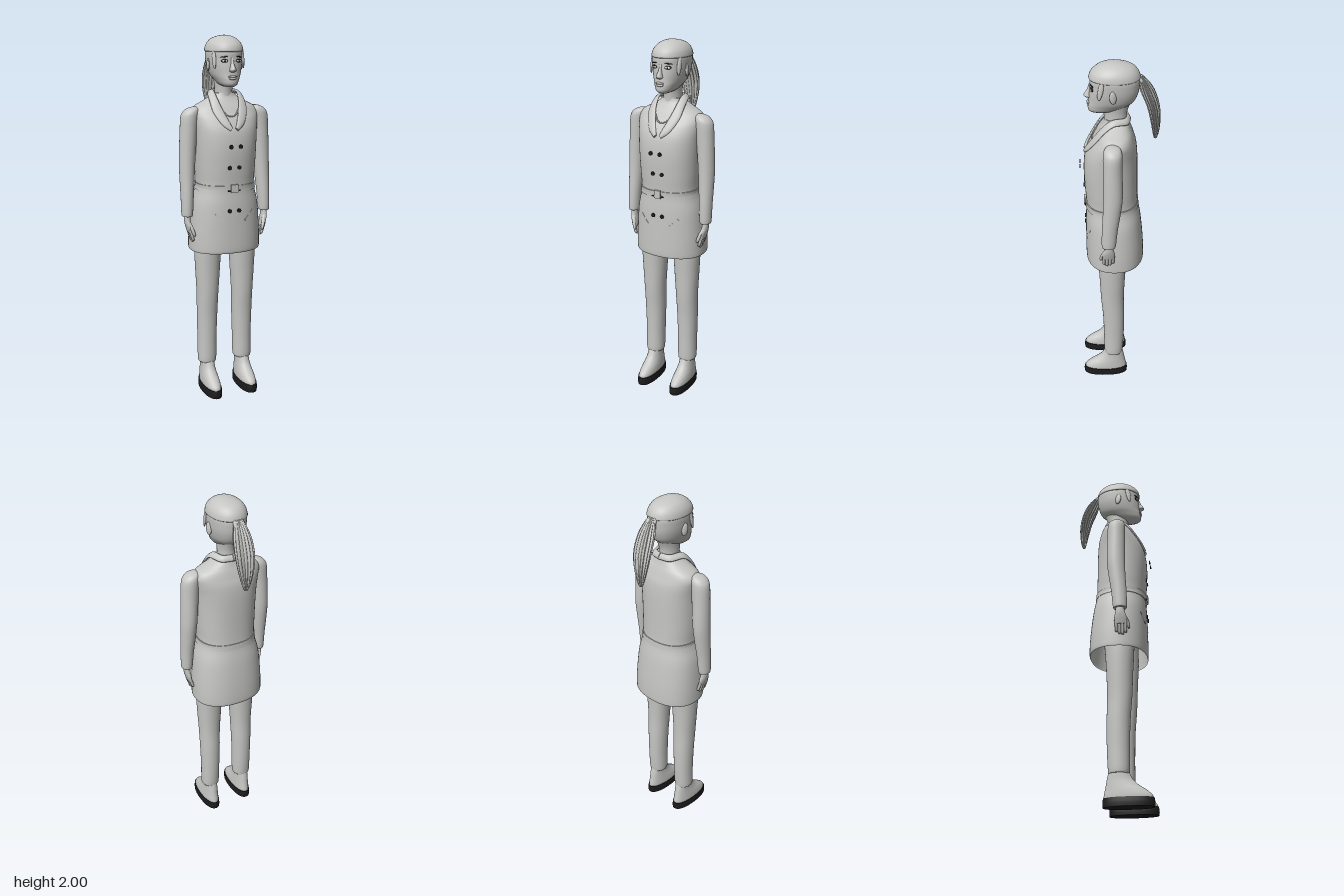
import * as THREE from 'three';

const grey = new THREE.MeshStandardMaterial({ color: 0xc6c6c4, side: THREE.DoubleSide });
grey.name = 'pale grey';
const black = new THREE.MeshStandardMaterial({ color: 0x1c1c1c });
black.name = 'black';
const white = new THREE.MeshStandardMaterial({ color: 0xf0f0f0 });
white.name = 'eye white';

const catmull = (a, b, c, d, t) =>
  0.5 * (2 * b + (c - a) * t + (2 * a - 5 * b + 4 * c - d) * t * t + (3 * b - a - 3 * c + d) * t * t * t);

// Skin a list of closed rings, with optional flat end caps
function skin(rings, capLow = true, capHigh = true) {
  const n = rings[0].length, pos = [], idx = [];
  rings.forEach(r => r.forEach(p => pos.push(p.x, p.y, p.z)));
  for (let i = 0; i < rings.length - 1; i++) {
    for (let j = 0; j < n; j++) {
      const a = i * n + j, b = i * n + (j + 1) % n;
      idx.push(a, a + n, b, b, a + n, b + n);
    }
  }
  const cap = (ring, up) => {
    const s = pos.length / 3, c = new THREE.Vector3();
    ring.forEach(p => { pos.push(p.x, p.y, p.z); c.addScaledVector(p, 1 / n); });
    pos.push(c.x, c.y, c.z);
    for (let j = 0; j < n; j++) {
      const k = (j + 1) % n;
      idx.push(s + n, s + (up ? k : j), s + (up ? j : k));
    }
  };
  if (capLow) cap(rings[0], false);
  if (capHigh) cap(rings[rings.length - 1], true);
  const g = new THREE.BufferGeometry();
  g.setAttribute('position', new THREE.Float32BufferAttribute(pos, 3));
  g.setIndex(idx);
  g.computeVertexNormals();
  return g;
}

// Horizontal sections, bottom to top: [y, centre x, half width, front z, back z]
function loft(sections, { power = 2, seg = 32, steps = 5, ridge = 0, ridges = 9, open = false } = {}) {
  const rings = [], last = sections.length - 1;
  for (let i = 0; i <= last * steps; i++) {
    const k = Math.min(Math.floor(i / steps), last - 1), t = i / steps - k;
    const at = m => sections[Math.max(0, Math.min(last, m))];
    const [y, cx, rx, zf, zb] = at(k).map((v, q) => catmull(at(k - 1)[q], v, at(k + 1)[q], at(k + 2)[q], t));
    const ring = [];
    for (let j = 0; j < seg; j++) {
      const a = j / seg * Math.PI * 2, c = Math.cos(a), s = Math.sin(a);
      const r = (1 + ridge * (Math.abs(Math.cos(a * ridges / 2)) - 0.7)) /
        Math.pow(Math.abs(c) ** power + Math.abs(s) ** power, 1 / power);
      ring.push(new THREE.Vector3(cx + rx * c * r, y, (zf + zb) / 2 + (zf - zb) / 2 * s * r));
    }
    rings.push(ring);
  }
  return skin(rings, !open, true);
}

// Soft-edged band running between an inner and an outer curve
function band(inner, outer, thick) {
  const [ci, co] = [inner, outer].map(l => new THREE.CatmullRomCurve3(l.map(p => new THREE.Vector3(...p))));
  const rings = [];
  for (let i = 0; i <= 32; i++) {
    const p = ci.getPoint(i / 32), q = co.getPoint(i / 32);
    const mid = p.clone().add(q).multiplyScalar(0.5), half = q.clone().sub(p).multiplyScalar(0.5);
    const nor = ci.getTangent(i / 32).add(co.getTangent(i / 32)).cross(half).normalize().multiplyScalar(thick);
    rings.push(Array.from({ length: 12 }, (_, j) => mid.clone()
      .addScaledVector(half, Math.cos(j * Math.PI / 6)).addScaledVector(nor, Math.sin(j * Math.PI / 6))));
  }
  return skin(rings);
}

export function createModel() {
  const root = new THREE.Group();
  root.name = 'woman in coat';
  const add = (name, geo, mat = grey, pos = [0, 0, 0], rot = [0, 0, 0], scale = [1, 1, 1]) => {
    const m = new THREE.Mesh(geo, mat);
    m.name = name;
    m.position.set(...pos); m.rotation.set(...rot); m.scale.set(...scale);
    root.add(m);
    return m;
  };
  const ball = new THREE.SphereGeometry(1, 20, 14);

  // Coat: flared skirt, waist, chest and sloping shoulders
  add('coat', loft([
    [0.84, 0, 0.198, 0.178, -0.135], [0.86, 0, 0.2, 0.182, -0.14], [0.96, 0, 0.197, 0.182, -0.136],
    [1.1, 0, 0.184, 0.18, -0.122], [1.2, 0, 0.16, 0.175, -0.105], [1.3, 0, 0.163, 0.181, -0.101],
    [1.41, 0, 0.168, 0.185, -0.1], [1.5, 0, 0.174, 0.176, -0.098], [1.56, 0, 0.182, 0.152, -0.092],
    [1.6, 0, 0.185, 0.125, -0.08], [1.63, 0, 0.165, 0.107, -0.07], [1.655, 0, 0.118, 0.09, -0.06],
    [1.68, 0, 0.075, 0.075, -0.052], [1.7, 0, 0.058, 0.07, -0.046],
  ], { power: 2.3, seg: 56, open: true }));

  // Belt with buckle
  add('belt', loft([[1.183, 0, 0.166, 0.18, -0.109], [1.2, 0, 0.163, 0.18, -0.108], [1.218, 0, 0.164, 0.181, -0.107]],
    { power: 2.3, seg: 56 }));
  add('buckle', new THREE.BoxGeometry(0.038, 0.044, 0.012), grey, [0, 1.202, 0.182]);
  add('buckle pin', new THREE.BoxGeometry(0.07, 0.006, 0.008), black, [0, 1.19, 0.18]);

  // Shirt neckline, neck
  add('neckline', new THREE.TubeGeometry(new THREE.CatmullRomCurve3(
    [[-0.05, 1.62, 0.112], [-0.025, 1.59, 0.133], [0, 1.582, 0.138], [0.025, 1.59, 0.133], [0.05, 1.62, 0.112]]
      .map(p => new THREE.Vector3(...p))), 20, 0.004, 6));
  add('neck', loft([[1.6, 0, 0.058, 0.085, -0.045], [1.68, 0, 0.048, 0.074, -0.043],
    [1.74, 0, 0.047, 0.078, -0.046], [1.8, 0, 0.055, 0.09, -0.07]]));

  // Head, rounded skull and tapered chin
  add('head', loft([
    [1.735, 0, 0.022, 0.135, 0.06], [1.748, 0, 0.045, 0.153, 0], [1.775, 0, 0.063, 0.155, -0.055],
    [1.8, 0, 0.076, 0.15, -0.083], [1.84, 0, 0.087, 0.147, -0.1], [1.88, 0, 0.092, 0.143, -0.106],
    [1.92, 0, 0.092, 0.14, -0.105], [1.96, 0, 0.075, 0.11, -0.08],
  ], { power: 2.15, seg: 40 }));
  add('hair', loft([
    [1.915, 0, 0.094, 0.143, -0.107], [1.922, 0, 0.098, 0.149, -0.11], [1.95, 0, 0.091, 0.139, -0.1],
    [1.975, 0, 0.073, 0.113, -0.077], [1.99, 0, 0.049, 0.085, -0.04], [1.998, 0, 0.022, 0.052, 0], [2, 0, 0.004, 0.03, 0.022],
  ], { power: 2.1, seg: 40 }));
  add('nose', loft([[1.812, 0, 0.01, 0.157, 0.13], [1.82, 0, 0.018, 0.172, 0.13], [1.83, 0, 0.015, 0.174, 0.13],
    [1.855, 0, 0.009, 0.158, 0.13], [1.885, 0, 0.008, 0.147, 0.13]], { seg: 16 }));
  add('upper lip', ball, grey, [0, 1.79, 0.152], [0, 0, 0], [0.026, 0.006, 0.008]);
  add('lower lip', ball, grey, [0, 1.78, 0.152], [0, 0, 0], [0.022, 0.007, 0.008]);

  // Ponytail with ridged strands and its tie
  add('ponytail', loft([
    [1.58, 0, 0.01, -0.182, -0.198], [1.62, 0, 0.025, -0.175, -0.208], [1.7, 0, 0.043, -0.16, -0.213],
    [1.77, 0, 0.05, -0.142, -0.205], [1.84, 0, 0.046, -0.113, -0.182], [1.89, 0, 0.034, -0.1, -0.152],
    [1.925, 0, 0.02, -0.096, -0.118],
  ], { ridge: 0.28, ridges: 14, seg: 84 }));
  add('hair tie', new THREE.TorusGeometry(0.024, 0.008, 8, 24), grey, [0, 1.905, -0.112], [0.5, 0, 0]);

  // Buttons in three rows
  for (const [y, z] of [[1.43, 0.204], [1.315, 0.184], [1.08, 0.184]])
    for (const s of [-1, 1])
      add('button', new THREE.CylinderGeometry(0.011, 0.011, 0.006, 16), black, [s * 0.027, y, z], [Math.PI / 2, 0, 0]);

  for (const s of [-1, 1]) {
    // Lapel, wrapping to the back of the collar
    add('lapel', band(
      [[s * 0.008, 1.525, 0.175], [s * 0.022, 1.56, 0.158], [s * 0.045, 1.62, 0.12], [s * 0.058, 1.67, 0.085],
        [s * 0.062, 1.712, 0.035], [s * 0.045, 1.715, -0.03], [0, 1.715, -0.045]],
      [[s * 0.022, 1.51, 0.178], [s * 0.06, 1.54, 0.16], [s * 0.097, 1.61, 0.112], [s * 0.1, 1.655, 0.075],
        [s * 0.094, 1.69, 0.025], [s * 0.062, 1.685, -0.045], [0, 1.685, -0.062]], 0.008));

    // Slanted pocket
    add('pocket', new THREE.BoxGeometry(0.074, 0.009, 0.012), grey, [s * 0.088, 1.046, 0.163], [0, s * 0.36, s * 0.74]);

    // Eyes, brows, ears and side locks
    add('eye rim', ball, black, [s * 0.039, 1.87, 0.134], [0, s * 0.3, 0], [0.019, 0.009, 0.006]);
    add('eye', ball, white, [s * 0.039, 1.869, 0.137], [0, s * 0.3, 0], [0.015, 0.006, 0.005]);
    add('pupil', ball, black, [s * 0.039, 1.869, 0.14], [0, s * 0.3, 0], [0.005, 0.005, 0.004]);
    add('eyebrow', ball, black, [s * 0.042, 1.89, 0.133], [0, s * 0.35, -s * 0.12], [0.02, 0.003, 0.004]);
    add('ear', ball, grey, [s * 0.092, 1.847, 0.03], [0.1, s * 0.3, 0], [0.009, 0.034, 0.018]);
    add('side lock', ball, grey, [s * 0.081, 1.88, 0.09], [-0.2, -s * 0.4, 0], [0.008, 0.052, 0.014]);

    // Sleeve
    const X = s;
    add('sleeve', loft([
      [1.045, X * 0.227, 0.026, 0.09, 0.026], [1.055, X * 0.227, 0.031, 0.096, 0.02], [1.15, X * 0.224, 0.035, 0.094, 0.01],
      [1.25, X * 0.22, 0.04, 0.088, -0.005], [1.35, X * 0.216, 0.044, 0.085, -0.016], [1.5, X * 0.207, 0.047, 0.084, -0.014],
      [1.575, X * 0.2, 0.049, 0.084, -0.014], [1.605, X * 0.192, 0.043, 0.08, -0.01], [1.622, X * 0.182, 0.03, 0.068, 0.002],
      [1.63, X * 0.175, 0.01, 0.045, 0.025],
    ]));

    // Hand with four fingers and a thumb
    add('palm', loft([[0.955, X * 0.215, 0.012, 0.093, 0.027], [0.99, X * 0.222, 0.016, 0.094, 0.026],
      [1.02, X * 0.227, 0.017, 0.085, 0.032], [1.06, X * 0.228, 0.017, 0.078, 0.036]], { seg: 20 }));
    for (let f = 0; f < 4; f++) {
      const z = 0.036 + f * 0.0165, tip = 0.9 + [0.016, 0.004, 0, 0.01][f];
      add('finger', loft([[tip, X * 0.202, 0.004, z + 0.004, z - 0.004], [tip + 0.008, X * 0.205, 0.008, z + 0.008, z - 0.008],
        [0.97, X * 0.218, 0.01, z + 0.009, z - 0.009]], { seg: 12, steps: 4 }));
    }
    add('thumb', loft([[0.935, X * 0.2, 0.004, 0.106, 0.098], [0.95, X * 0.203, 0.009, 0.109, 0.091],
      [0.98, X * 0.212, 0.01, 0.102, 0.08], [1.015, X * 0.224, 0.01, 0.084, 0.06]], { seg: 12 }));

    // Trouser leg
    add('trouser leg', loft([
      [0.17, X * 0.108, 0.045, 0.08, -0.014], [0.18, X * 0.108, 0.052, 0.089, -0.021], [0.3, X * 0.107, 0.053, 0.09, -0.028],
      [0.45, X * 0.106, 0.057, 0.094, -0.03], [0.58, X * 0.105, 0.06, 0.104, -0.028], [0.72, X * 0.104, 0.068, 0.11, -0.033],
      [0.85, X * 0.102, 0.074, 0.117, -0.042], [1.0, X * 0.09, 0.08, 0.12, -0.06],
    ], { power: 2.15 }));

    // Shoe and sole
    add('shoe', loft([
      [0.04, X * 0.108, 0.046, 0.208, -0.044], [0.06, X * 0.108, 0.046, 0.203, -0.043], [0.085, X * 0.108, 0.044, 0.175, -0.038],
      [0.11, X * 0.108, 0.041, 0.137, -0.033], [0.14, X * 0.108, 0.038, 0.106, -0.028], [0.185, X * 0.108, 0.037, 0.083, -0.018],
    ], { power: 2.2 }));
    add('sole', loft([[0, X * 0.108, 0.05, 0.213, -0.048], [0.022, X * 0.108, 0.051, 0.215, -0.049],
      [0.046, X * 0.108, 0.049, 0.211, -0.047]], { power: 2.3 }), black);
  }
  return root;
}
